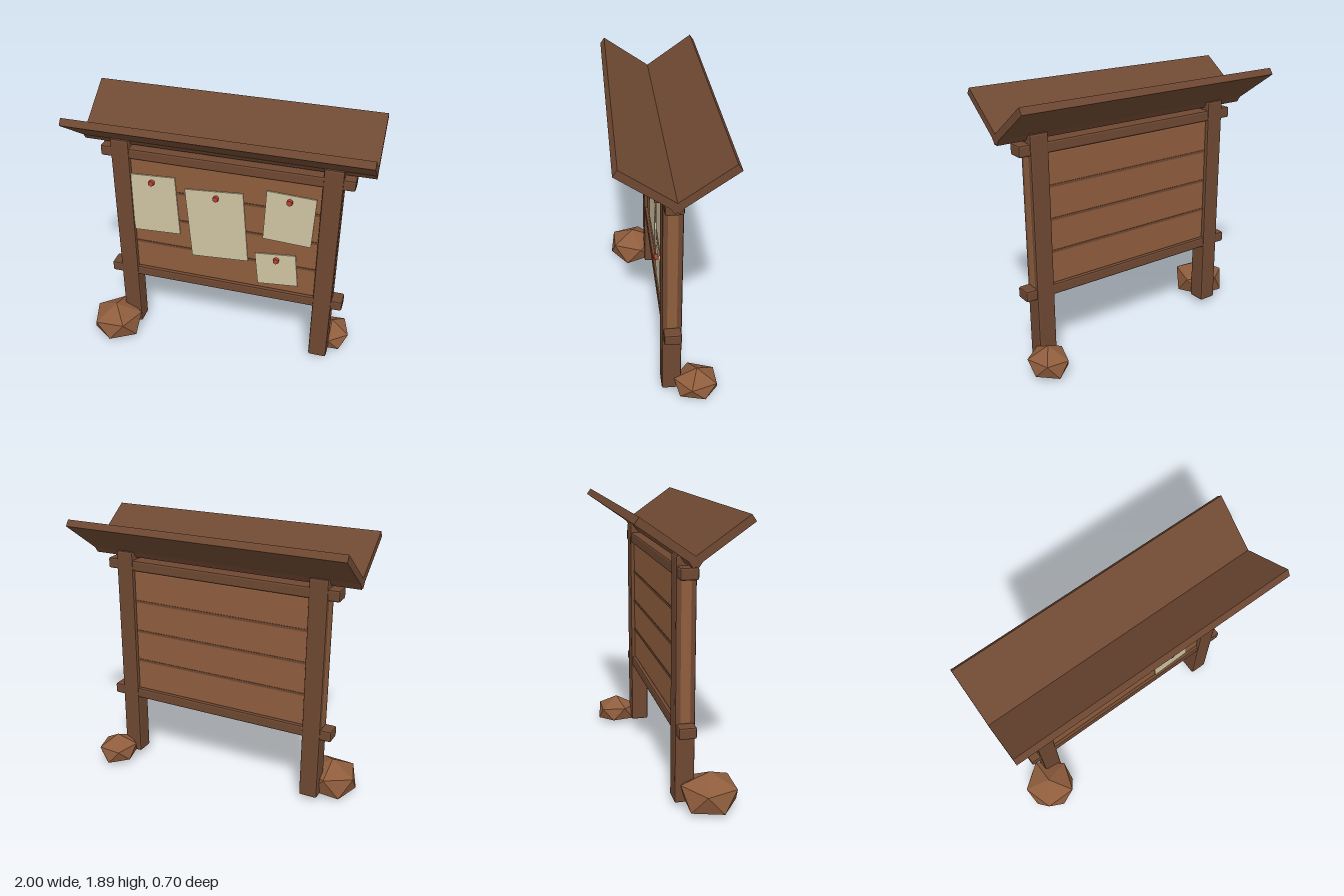
import * as THREE from 'three';
import { RoundedBoxGeometry } from 'three/addons/geometries/RoundedBoxGeometry.js';
import { ConvexGeometry } from 'three/addons/geometries/ConvexGeometry.js';

const CX = 0.005; // middle of the timber frame

function material(name, color) {
  const m = new THREE.MeshStandardMaterial({ color });
  m.name = name;
  return m;
}

// Box with single flat chamfers along every edge
function chamferBox(w, h, d, bevel) {
  const g = new RoundedBoxGeometry(w, h, d, 1, bevel);
  g.computeVertexNormals();
  return g;
}

// Faceted boulder: two staggered rings of five corners between a top and a bottom point
function boulder(rx, rz, yLow, yRingLow, yRingHigh, yTop, turn, jitter) {
  const pts = [new THREE.Vector3(0, yTop, 0), new THREE.Vector3(0, yLow, 0)];
  for (let i = 0; i < 5; i++) {
    const a = turn + (i * 2 * Math.PI) / 5;
    const b = a + Math.PI / 5;
    const wobble = jitter * Math.sin(i * 2.4 + 1);
    pts.push(new THREE.Vector3(rx * Math.cos(a), yRingHigh + wobble, rz * Math.sin(a)));
    pts.push(new THREE.Vector3(0.95 * rx * Math.cos(b), yRingLow + wobble, 0.95 * rz * Math.sin(b)));
  }
  return new ConvexGeometry(pts);
}

export function createModel() {
  const group = new THREE.Group();
  group.name = 'noticeBoard';

  const darkWood = material('dark wood', 0x6e4832);
  const lightWood = material('light wood', 0x8f5d3d);
  const paper = material('paper', 0xcfc3a2);
  const red = material('pin red', 0xb8402f);

  const add = (name, geometry, mat, x, y, z) => {
    const mesh = new THREE.Mesh(geometry, mat);
    mesh.name = name;
    mesh.position.set(x, y, z);
    group.add(mesh);
    return mesh;
  };

  // Posts
  for (const [side, s] of [['left', 1], ['right', -1]]) {
    add(side + 'Post', chamferBox(0.132, 1.6, 0.13, 0.013), darkWood, CX + s * 0.729, 0.84, 0);
  }

  // Rails running through the posts
  for (const [name, y] of [['topRail', 1.539], ['bottomRail', 0.543]]) {
    add(name, chamferBox(1.743, 0.078, 0.116, 0.013), darkWood, CX, y, 0);
  }

  // Backing board with dark seams on both faces
  add('board', chamferBox(1.594, 0.92, 0.074, 0.01), lightWood, CX, 1.04, 0);
  for (const y of [0.812, 1.042, 1.272]) {
    add('boardSeam', new THREE.BoxGeometry(1.4, 0.018, 0.082), darkWood, CX, y, 0);
  }

  // Roof: two planks crossing in a valley over the posts
  const slope = THREE.MathUtils.degToRad(35);
  for (const [name, s] of [['frontRoof', 1], ['backRoof', -1]]) {
    const roof = add(name, new THREE.BoxGeometry(1.988, 0.05, 0.446), darkWood, 0.005, 1.742, s * 0.154);
    roof.rotation.x = -s * slope;
  }

  // Pinned notices: x, y, width, height, tilt in degrees, pin x, pin y
  const notices = [
    [-0.497, 1.162, 0.34, 0.46, 3, -0.505, 1.342],
    [-0.043, 1.066, 0.413, 0.553, 4.4, -0.045, 1.294],
    [0.463, 1.211, 0.337, 0.385, -2.5, 0.463, 1.355],
    [0.392, 0.773, 0.29, 0.262, 6, 0.39, 0.861],
  ];
  for (const [x, y, w, h, tilt, px, py] of notices) {
    const sheet = add('notice', new THREE.BoxGeometry(w, h, 0.009), paper, x, y, 0.05);
    sheet.rotation.z = THREE.MathUtils.degToRad(tilt);
    const pin = add('pin', new THREE.CylinderGeometry(0.021, 0.021, 0.028, 6), red, px, py, 0.066);
    pin.rotation.x = Math.PI / 2;
  }

  // Boulders at the feet
  const turn = THREE.MathUtils.degToRad(54);
  add('rightBoulder', boulder(0.186, 0.19, 0.005, 0.038, 0.17, 0.257, turn, 0.01), lightWood, -0.823, 0, 0.155);
  add('leftBoulder', boulder(0.14, 0.155, 0.016, 0.036, 0.132, 0.212, -turn, 0.006), lightWood, 0.8, 0, -0.172);

  return group;
}
